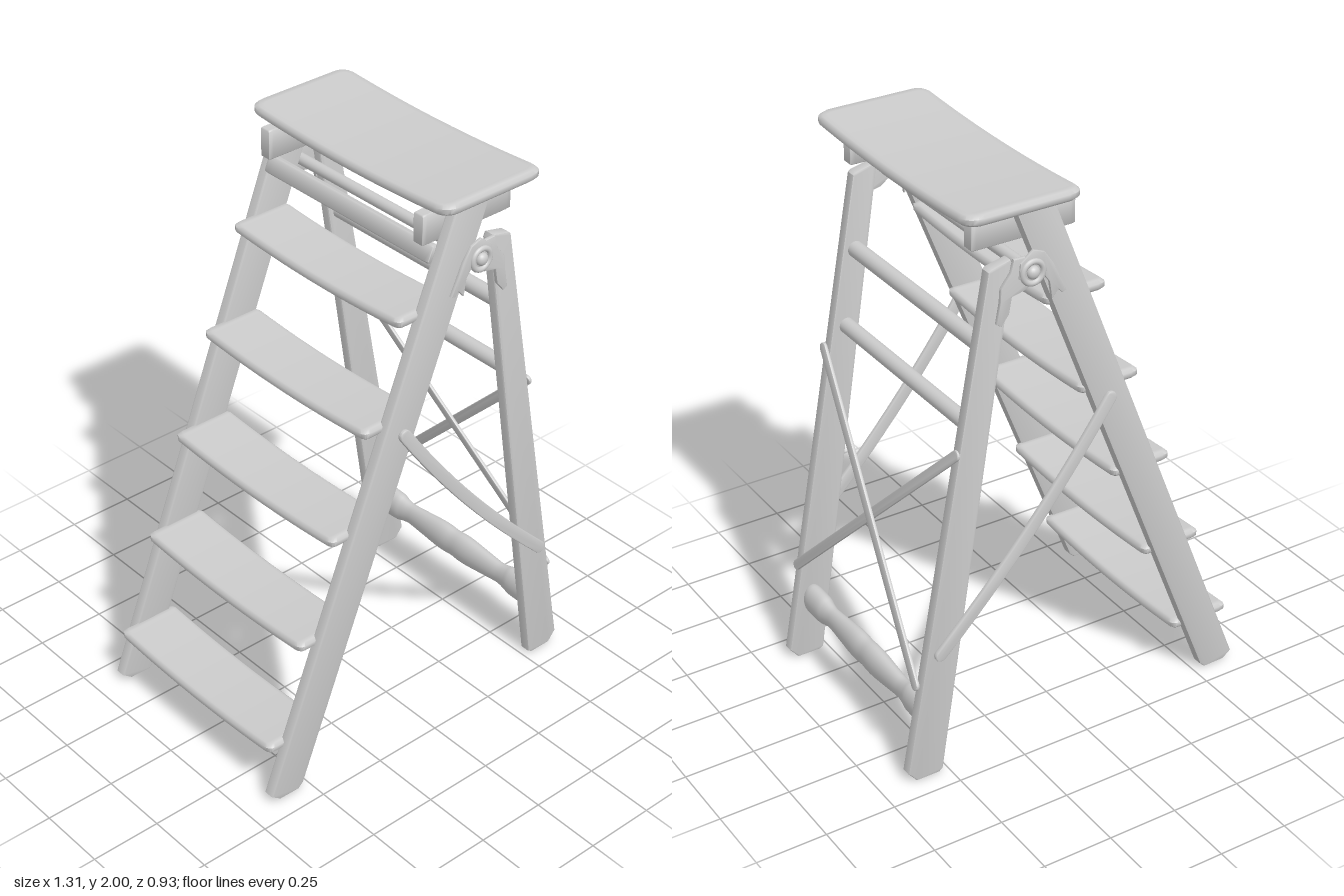
import * as THREE from 'three';
import { toCreasedNormals } from 'three/addons/utils/BufferGeometryUtils.js';

const V2 = (x, y) => new THREE.Vector2(x, y);

export function createModel() {
  const model = new THREE.Group();
  const material = new THREE.MeshStandardMaterial({ color: 0xcccccc });

  const add = (name, geometry, x = 0, y = 0, z = 0) => {
    const mesh = new THREE.Mesh(geometry, material);
    mesh.name = name;
    mesh.position.set(x, y, z);
    model.add(mesh);
    return mesh;
  };

  // scaled up while creasing so that small details are not merged
  const crease = (geo, angle = 0.9) => {
    geo.scale(100, 100, 100);
    return toCreasedNormals(geo, angle).scale(0.01, 0.01, 0.01);
  };

  // flat outline with softened edges, centred on z
  const plate = (points, depth, bevel) => {
    const geo = new THREE.ExtrudeGeometry(new THREE.Shape(points), {
      depth: depth - 2 * bevel, bevelThickness: bevel, bevelSize: bevel,
      bevelOffset: -bevel, bevelSegments: 2,
    });
    geo.translate(0, 0, bevel - depth / 2);
    return crease(geo, 0.6);
  };

  // rounded-end strap outline from a to b, bowed sideways by sag
  const strapPoints = (a, b, width, sag = 0) => {
    const dir = b.clone().sub(a).normalize();
    const side = V2(-dir.y, dir.x);
    const ctrl = a.clone().add(b).multiplyScalar(0.5).addScaledVector(side, 2 * sag);
    const curve = new THREE.QuadraticBezierCurve(a, ctrl, b);
    const left = [], right = [], n = sag ? 12 : 1;
    for (let i = 0; i <= n; i++) {
      const p = curve.getPoint(i / n), t = curve.getTangent(i / n);
      const o = V2(-t.y, t.x).multiplyScalar(width / 2);
      left.push(p.clone().add(o));
      right.push(p.clone().sub(o));
    }
    const cap = (c, sign) => [1, 2, 3, 4, 5].map((k) => {
      const s = Math.PI * k / 6;
      return c.clone().addScaledVector(side, sign * Math.cos(s) * width / 2)
        .addScaledVector(dir, sign * Math.sin(s) * width / 2);
    });
    return [...left, ...cap(b, 1), ...right.reverse(), ...cap(a, -1)];
  };

  // board with rounded corners, soft edges and a dished middle
  const board = (w, h, d, radius, edge, dish) => {
    const geo = new THREE.BoxGeometry(w, h, d, 22, 3, 44);
    const p = geo.attributes.position;
    for (let i = 0; i < p.count; i++) {
      let x = p.getX(i), y = p.getY(i), z = p.getZ(i);
      const dx = Math.abs(x) - (w / 2 - radius), dz = Math.abs(z) - (d / 2 - radius);
      if (dx > 0 && dz > 0) {
        const k = Math.max(dx, dz) / Math.hypot(dx, dz);
        x = Math.sign(x) * (w / 2 - radius + dx * k);
        z = Math.sign(z) * (d / 2 - radius + dz * k);
      }
      if (Math.abs(y) > h * 0.4) {
        x *= 1 - 2 * edge / w;
        z *= 1 - 2 * edge / d;
      } else {
        y = Math.sign(y) * (h / 2 - edge);
      }
      p.setXYZ(i, x, y + dish * ((2 * z / d) ** 2), z);
    }
    return crease(geo);
  };

  const rod = (name, x, y, radius, length) =>
    add(name, new THREE.CylinderGeometry(radius, radius, length, 24).rotateX(Math.PI / 2), x, y, 0);

  // seat and steps
  add('seat', board(0.41, 0.036, 0.93, 0.045, 0.01, 0.018), 0.225, 1.964, 0);
  for (let i = 0; i < 5; i++) {
    add('step', board(0.226, 0.036, 0.804, 0.02, 0.01, 0.018), -0.532 + i * 0.134, 0.196 + i * 0.3525 - 0.008, 0);
  }

  // outlines shared by both sides
  const frontStile = [V2(-0.657, 0.03), V2(-0.625, 0.005), V2(-0.545, 0.003), V2(-0.525, 0.022),
    V2(0.234, 1.945), V2(0.226, 1.958), V2(0.115, 1.958), V2(0.094, 1.94)];
  const rearLeg = [V2(0.521, 0.012), V2(0.535, 0.002), V2(0.62, 0.002), V2(0.651, 0.04),
    V2(0.336, 1.785), V2(0.325, 1.793), V2(0.258, 1.808), V2(0.25, 1.79)];
  const stileBracket = [V2(0.15, 1.815), V2(0.118, 1.77), V2(0.1, 1.73), V2(0.07, 1.665), V2(0.085, 1.66),
    V2(0.1, 1.675), V2(0.122, 1.65), V2(0.132, 1.71), V2(0.15, 1.735), V2(0.19, 1.712), V2(0.24, 1.745),
    V2(0.235, 1.795), V2(0.19, 1.83)];
  const legBracket = [V2(0.2, 1.81), V2(0.255, 1.812), V2(0.265, 1.77), V2(0.3, 1.725), V2(0.303, 1.68),
    V2(0.316, 1.61), V2(0.3, 1.6), V2(0.272, 1.635), V2(0.262, 1.69), V2(0.215, 1.7), V2(0.16, 1.74)];

  for (const s of [1, -1]) {
    add('frontStile', plate(frontStile, 0.042, 0.006), 0, 0, s * 0.407);
    add('rearLeg', plate(rearLeg, 0.04, 0.006), 0, 0, s * 0.406);
    add('seatBlock', board(0.37, 0.105, 0.044, 0.005, 0.004, 0), 0.185, 1.897, s * 0.362);
    add('sideBrace', plate(strapPoints(V2(-0.107, 1.23), V2(0.53, 0.48), 0.044, -0.026), 0.016, 0.004), 0, 0, s * 0.437);

    // hinge plates with washer and pin head
    add('stileBracket', plate(stileBracket, 0.012, 0.003), 0, 0, s * 0.439);
    add('legBracket', plate(legBracket, 0.014, 0.003), 0, 0, s * 0.432);
    add('hingeWasher', new THREE.TorusGeometry(0.036, 0.01, 10, 32), 0.192, 1.757, s * 0.444);
    add('hingePinHead', new THREE.SphereGeometry(0.022, 20, 12).scale(1, 1, 0.8), 0.192, 1.757, s * 0.445);
  }

  // cross rails
  rod('hingeRod', 0.192, 1.757, 0.02, 0.9);
  rod('upperRearRod', 0.337, 1.524, 0.028, 0.78);
  rod('lowerRearRod', 0.38, 1.255, 0.027, 0.78);
  const slat = add('topSlat', board(0.034, 0.06, 0.78, 0.005, 0.005, 0), 0.043, 1.803, 0);
  slat.rotation.z = -0.37;

  // crossed straps lying on the back edges of the rear legs
  const low = new THREE.Vector3(0.603, 0.372, 0), high = new THREE.Vector3(0.452, 1.182, 0);
  const span = high.clone().sub(low), length = span.length();
  const across = new THREE.Vector3(0, 0, 1), up = span.clone().normalize();
  const inward = across.clone().cross(up);
  for (const s of [1, -1]) {
    const geo = plate(strapPoints(V2(-s * 0.408, 0), V2(s * 0.408, length), 0.036), 0.012, 0.003);
    // bow outwards, the two straps passing one over the other
    const frame = new THREE.Matrix4().makeBasis(across, up, inward).setPosition(low);
    const tilt = new THREE.Matrix4().makeTranslation(0, 0, -s * 0.006);
    add('crossStrap', geo.applyMatrix4(tilt).applyMatrix4(frame));
  }

  // carved bottom rung
  const half = [[0.05, 0.385], [0.058, 0.375], [0.057, 0.3], [0.049, 0.27], [0.043, 0.24], [0.044, 0.21],
    [0.05, 0.15], [0.057, 0.08], [0.058, 0.04], [0.055, 0]];
  const outline = new THREE.SplineCurve([
    ...half.map(([r, z]) => V2(r, -z)),
    ...half.slice(0, -1).reverse().map(([r, z]) => V2(r, z)),
  ]).getPoints(60);
  const rung = new THREE.LatheGeometry([V2(0, -0.386), ...outline, V2(0, 0.386)], 28);
  rung.rotateX(Math.PI / 2).scale(0.63, 1, 1);
  add('bottomRung', crease(rung), 0.556, 0.232, 0);

  return model;
}
